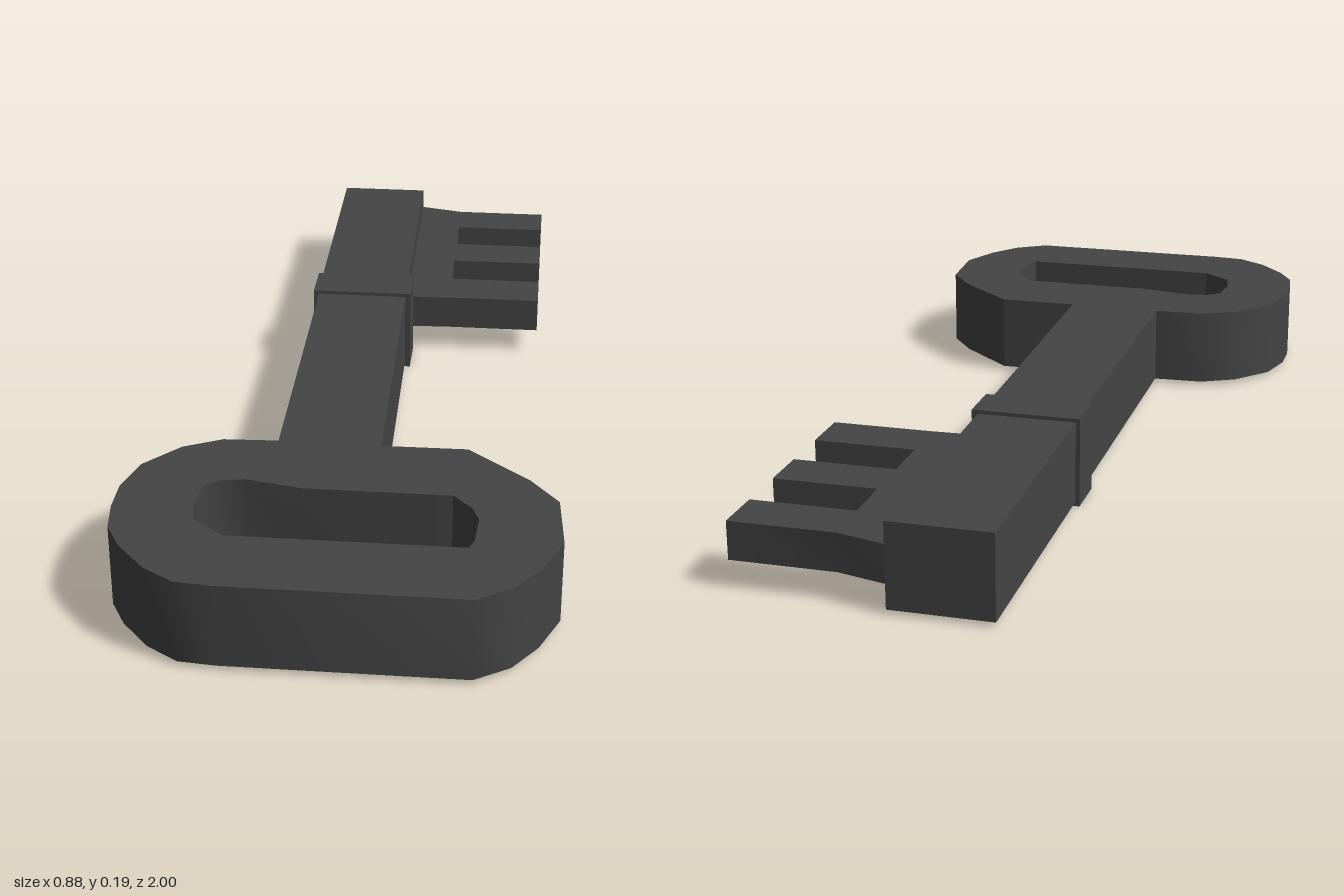
import * as THREE from 'three';
import { toCreasedNormals } from 'three/addons/utils/BufferGeometryUtils.js';

// Flat plate from an [x, z] outline, standing between two heights
function plate(name, outline, y0, y1, material, hole) {
  const toPoints = (list) => list.map(([x, z]) => new THREE.Vector2(x, -z));
  const shape = new THREE.Shape(toPoints(outline));
  if (hole) shape.holes.push(new THREE.Path(toPoints(hole)));
  const geometry = new THREE.ExtrudeGeometry(shape, { depth: y1 - y0, bevelEnabled: false });
  geometry.rotateX(-Math.PI / 2);
  geometry.translate(0, y0, 0);
  const mesh = new THREE.Mesh(toCreasedNormals(geometry, 0.6), material);
  mesh.name = name;
  return mesh;
}

export function createModel() {
  const iron = new THREE.MeshStandardMaterial({ color: 0x444444 });
  iron.name = 'dark iron';
  const key = new THREE.Group();
  key.name = 'key';

  // Rounded handle and the shaft that grows out of it
  const handle = [
    [-0.16, -0.35], [-0.155, 0.445], [-0.27, 0.45], [-0.35, 0.49], [-0.42, 0.57],
    [-0.445, 0.66], [-0.445, 0.74], [-0.435, 0.815], [-0.4, 0.88], [-0.34, 0.95],
    [-0.275, 0.993], [-0.2, 1], [0.28, 1], [0.35, 0.955], [0.4, 0.885], [0.44, 0.79],
    [0.43, 0.64], [0.37, 0.56], [0.24, 0.445], [0.06, 0.447], [0.05, -0.35],
  ];
  const opening = [
    [-0.25, 0.62], [-0.2, 0.61], [-0.08, 0.635], [0.22, 0.635], [0.26, 0.68], [0.275, 0.72],
    [0.27, 0.8], [0.26, 0.825], [-0.21, 0.825], [-0.275, 0.775], [-0.285, 0.72], [-0.28, 0.645],
  ];
  key.add(plate('handleAndShaft', handle, 0.01, 0.187, iron, opening));

  // Raised collar
  key.add(plate('collar', [[-0.172, -0.4], [-0.172, -0.295], [0.063, -0.295], [0.063, -0.4]], 0, 0.195, iron));

  // Square end of the shaft
  key.add(plate('shaftEnd', [[-0.167, -1], [-0.163, -0.36], [0.05, -0.36], [0.045, -1]], 0.01, 0.187, iron));

  // Thin bit with three teeth
  const bit = [[0.02, -0.4], [0.02, -0.995], [0.05, -0.995]];
  for (const [back, front] of [[-0.97, -0.86], [-0.745, -0.635], [-0.52, -0.405]]) {
    bit.push([0.15, back], [0.37, back], [0.37, front], [0.15, front]);
  }
  key.add(plate('bit', bit, 0.06, 0.14, iron));

  return key;
}
